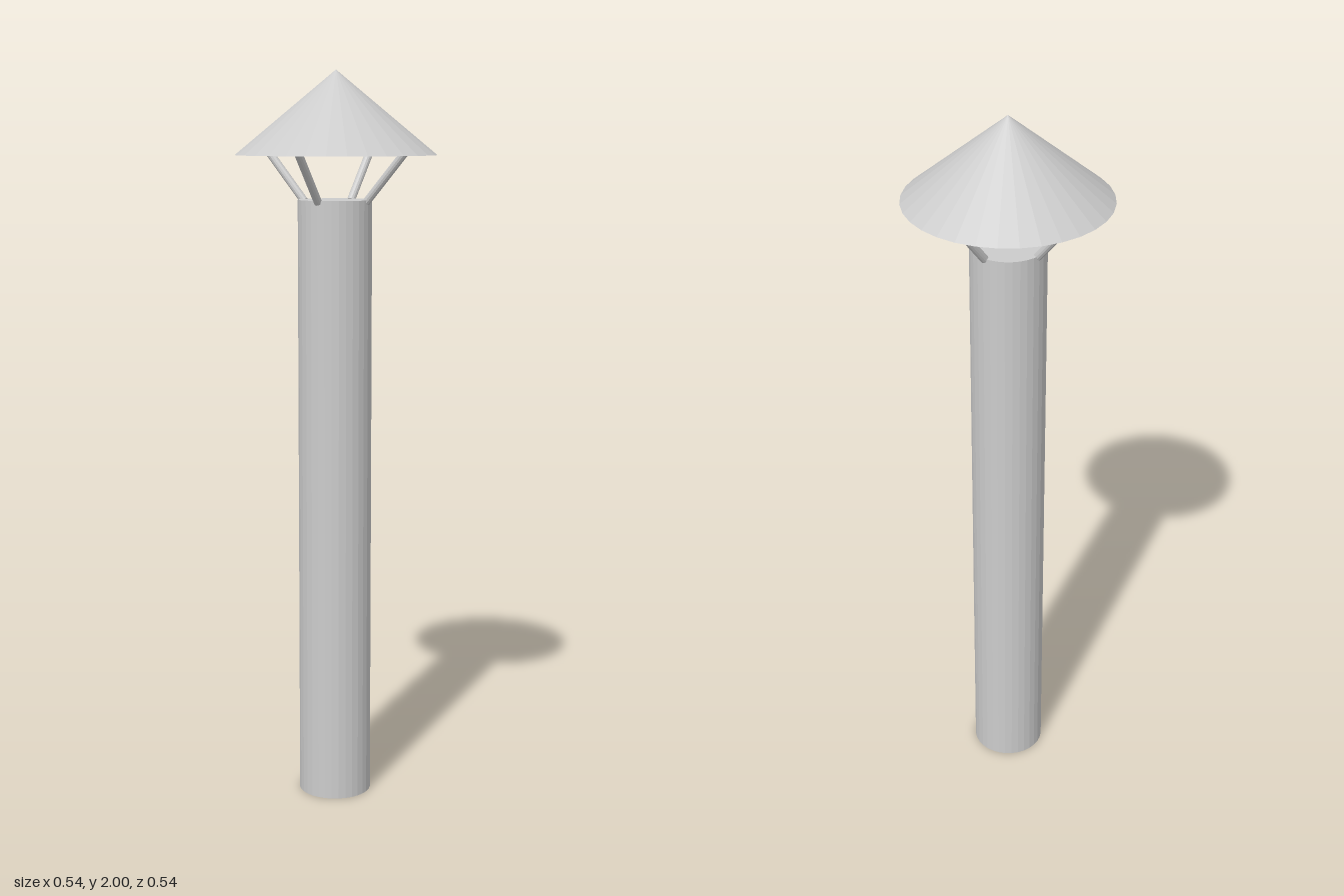
import * as THREE from 'three';

const material = new THREE.MeshStandardMaterial({ color: 0xcccccc, flatShading: true });

function addMesh(parent, name, geometry) {
  const mesh = new THREE.Mesh(geometry, material);
  mesh.name = name;
  parent.add(mesh);
  return mesh;
}

// Round bar running between two points
function addBar(parent, name, from, to, radius) {
  const dir = to.clone().sub(from);
  const bar = addMesh(parent, name, new THREE.CylinderGeometry(radius, radius, dir.length(), 12));
  bar.position.copy(from).add(to).multiplyScalar(0.5);
  bar.quaternion.setFromUnitVectors(new THREE.Vector3(0, 1, 0), dir.normalize());
}

export function createModel() {
  const model = new THREE.Group();
  model.name = 'chimneyPipe';
  const offset = -0.007; // the pipe sits slightly off the cap's axis

  // Tall closed pipe
  const pipeHeight = 1.66;
  const pipe = addMesh(model, 'pipe', new THREE.CylinderGeometry(0.1, 0.1, pipeHeight, 32));
  pipe.position.set(offset, pipeHeight / 2, offset);

  // Conical rain cap with a flat underside
  const capBase = 1.778;
  const cap = addMesh(model, 'rainCap', new THREE.ConeGeometry(0.27, 2 - capBase, 32));
  cap.position.y = (2 + capBase) / 2;

  // Four slanted struts from the pipe rim to the cap
  const struts = new THREE.Group();
  struts.name = 'struts';
  model.add(struts);
  for (let i = 0; i < 4; i++) {
    const a = (i * Math.PI) / 2;
    const ring = (r, y, shift) =>
      new THREE.Vector3(Math.cos(a) * r + shift, y, Math.sin(a) * r + shift);
    addBar(struts, 'strut', ring(0.094, 1.655, offset), ring(0.205, 1.786, offset / 2), 0.011);
  }
  return model;
}
